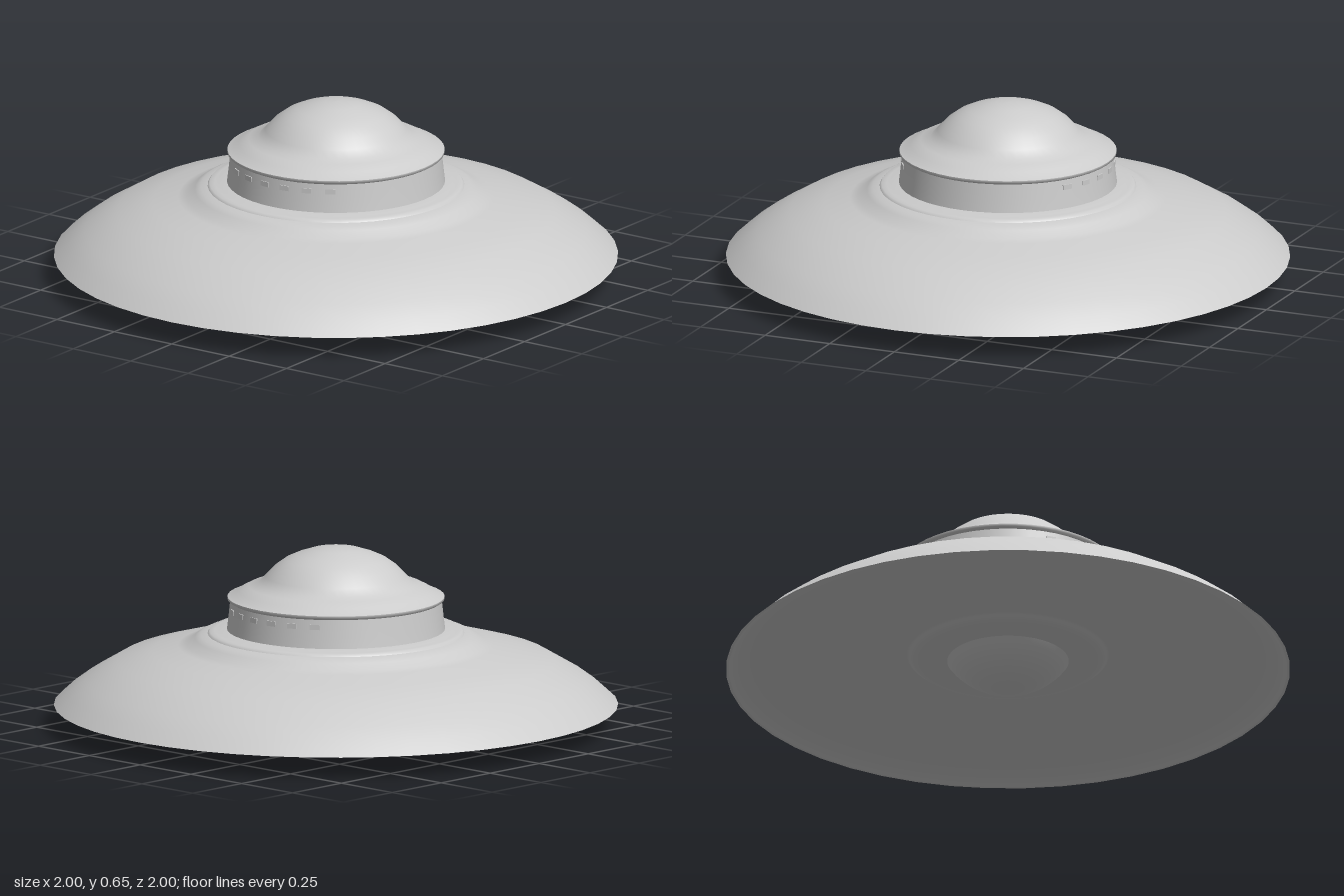
import * as THREE from 'three';

const material = new THREE.MeshStandardMaterial({ color: 0xcccccc });
const SEGMENTS = 48;

// Each profile runs from the underside axis outwards, then up and back in.
function turned(name, profile) {
  const points = profile.map(([r, y]) => new THREE.Vector2(r, y));
  const mesh = new THREE.Mesh(new THREE.LatheGeometry(points, SEGMENTS), material);
  mesh.name = name;
  return mesh;
}

export function createModel() {
  const model = new THREE.Group();
  model.name = 'flyingSaucer';

  // Belly dome: a spherical cap of radius R resting on y = 0
  const R = 0.265;
  const dome = [];
  for (let i = 0; i <= 10; i++) {
    const a = (i / 10) * 0.95;
    dome.push([R * Math.sin(a), R * (1 - Math.cos(a))]);
  }
  model.add(turned('bellyDome', dome));

  // Underside: raised central disc, then a shallow hollow out to the rim
  model.add(turned('underside', [
    [0.2, 0.11], [0.24, 0.118], [0.31, 0.115], [0.335, 0.119], [0.35, 0.13], [0.36, 0.137],
    [0.5, 0.137], [0.75, 0.132], [0.9, 0.118], [0.96, 0.1], [0.99, 0.08],
  ]));
  model.add(turned('rim', [[0.99, 0.08], [1, 0.08]]));

  // Broad upper hull with its stepped shoulder
  model.add(turned('hull', [
    [1, 0.08], [0.95, 0.126], [0.89, 0.17], [0.775, 0.238], [0.65, 0.272],
    [0.56, 0.293], [0.53, 0.3], [0.5, 0.322], [0.48, 0.332], [0.455, 0.337],
  ]));
  model.add(turned('shoulderStep', [
    [0.455, 0.337], [0.448, 0.346], [0.43, 0.346], [0.415, 0.35], [0.385, 0.353],
  ]));

  // Cabin wall and overhanging lip
  model.add(turned('cabinWall', [[0.387, 0.35], [0.382, 0.39], [0.375, 0.455]]));
  model.add(turned('cabinLip', [[0.375, 0.455], [0.385, 0.461], [0.385, 0.47]]));

  // Bell-shaped roof and top cap
  model.add(turned('roof', [
    [0.385, 0.47], [0.365, 0.478], [0.345, 0.49], [0.31, 0.508], [0.275, 0.517], [0.25, 0.543],
    [0.22, 0.575], [0.18, 0.604], [0.14, 0.622], [0.085, 0.64], [0.04, 0.647], [0, 0.648],
  ]));

  // Rows of small windows on the front and back of the cabin
  const windowGeometry = new THREE.BoxGeometry(0.036, 0.018, 0.012);
  for (const facing of [0, Math.PI]) {
    for (let i = 0; i < 6; i++) {
      const angle = facing + THREE.MathUtils.degToRad((i - 2.5) * 13);
      const pane = new THREE.Mesh(windowGeometry, material);
      pane.name = 'cabinWindow';
      pane.position.set(0.374 * Math.sin(angle), 0.428, 0.374 * Math.cos(angle));
      pane.rotation.y = angle;
      model.add(pane);
    }
  }
  return model;
}
